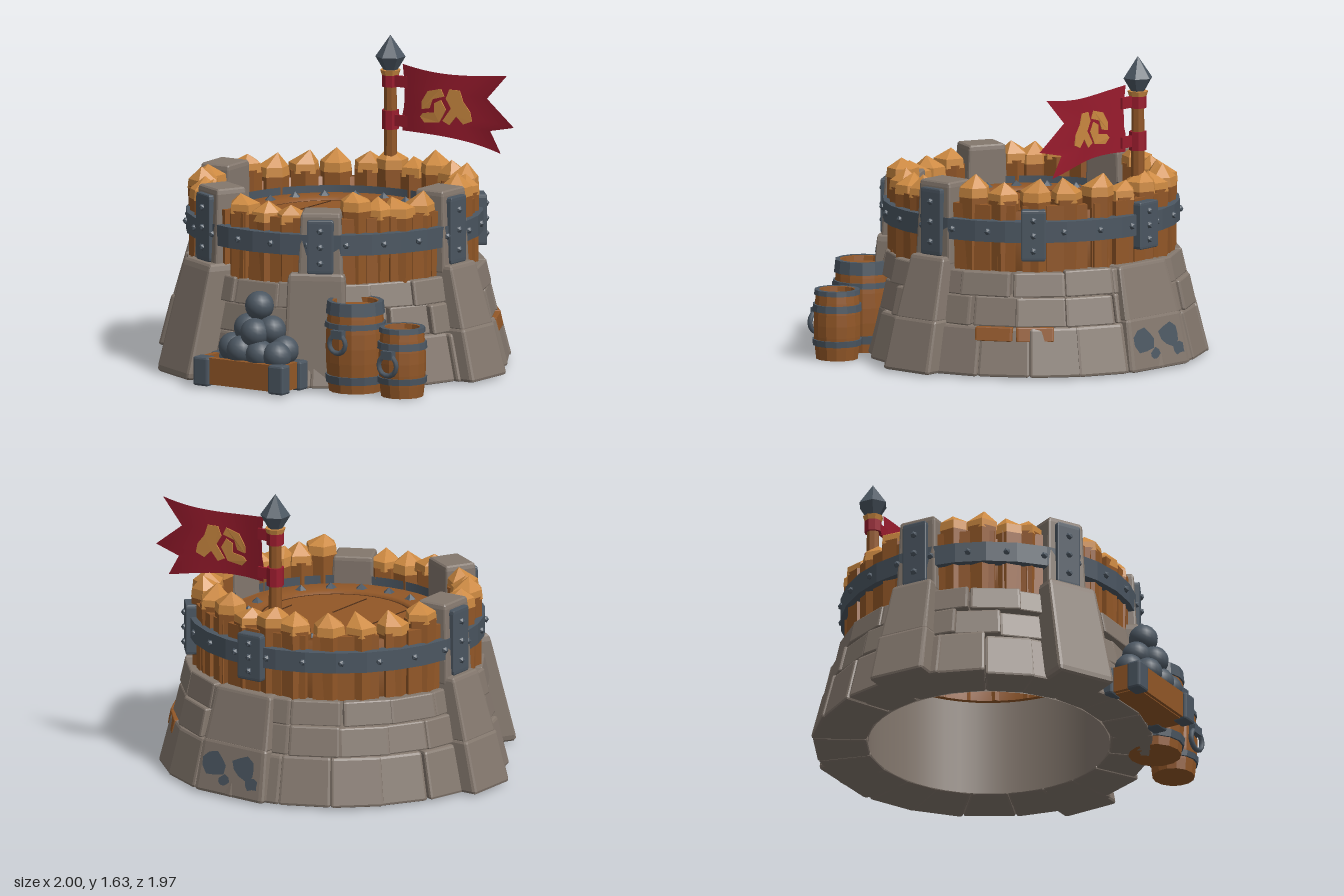
import * as THREE from 'three';
import { RoundedBoxGeometry } from 'three/addons/geometries/RoundedBoxGeometry.js';

const mat = (name, color, side = THREE.FrontSide) => {
  const m = new THREE.MeshStandardMaterial({ color, side });
  m.name = name;
  return m;
};
const stone = mat('stone', 0x83776d, THREE.DoubleSide);
const iron = mat('iron', 0x4b5661, THREE.DoubleSide);
const wood = mat('wood', 0x925727, THREE.DoubleSide);
const cutWood = mat('cut wood', 0xcc8941);
const seam = mat('dark seam', 0x4f2f18);
const red = mat('red cloth', 0x991b2d, THREE.DoubleSide);

const CZ = -0.06; // tower axis
const rad = THREE.MathUtils.degToRad, lerp = THREE.MathUtils.lerp;

export function createModel() {
  const root = new THREE.Group();
  root.name = 'watchtower';
  let seed = 7;
  const rnd = () => ((seed = (seed * 16807) % 2147483647) / 2147483647);
  const group = (name, z = 0) => {
    const g = new THREE.Group();
    g.name = name;
    g.position.z = z;
    root.add(g);
    return g;
  };
  const add = (parent, geo, material, name, x = 0, y = 0, z = 0) => {
    const m = new THREE.Mesh(geo, material);
    m.name = name;
    m.position.set(x, y, z);
    parent.add(m);
    return m;
  };
  const flat = (geo) => {
    const g = geo.index ? geo.toNonIndexed() : geo;
    g.computeVertexNormals();
    return g;
  };
  const lathe = (pts, n) => new THREE.LatheGeometry(pts.map((p) => new THREE.Vector2(p[0], p[1])), n);

  // Chamfered block facing outward at angle a (degrees, 0 = front), with sloping outer face
  const block = (parent, material, name, a, y0, y1, rin, rb, rt, wb, wt, inner = 1) => {
    const g = new RoundedBoxGeometry(1, 1, 1, 1, 0.06);
    const p = g.attributes.position;
    for (let i = 0; i < p.count; i++) {
      const v = p.getY(i) + 0.5, w = p.getZ(i) + 0.5;
      p.setXYZ(i, p.getX(i) * lerp(wb, wt, v) * lerp(inner, 1, w), lerp(y0, y1, v), lerp(rin, lerp(rb, rt, v), w));
    }
    const m = add(parent, flat(g), material, name);
    m.rotation.y = rad(a);
    return m;
  };

  // Stone base: hollow core and three courses of blocks
  const base = group('stoneBase', CZ);
  add(base, flat(lathe([[0.66, 0.03], [0.8, 0.03], [0.71, 0.55], [0.66, 0.55]], 40)), stone, 'baseCore');
  add(base, new THREE.CylinderGeometry(0.635, 0.635, 0.53, 48, 1, true), stone, 'innerWall', 0, 0.29, 0);
  const slope = (y) => lerp(0.925, 0.77, (y - 0.02) / 0.54);
  [[0.02, 0.275, 21], [0.275, 0.43, 20], [0.43, 0.56, 19]].forEach(([y0, y1, n], row) => {
    for (let i = 0; i < n; i++) {
      const a = ((i + row * 0.5) / n) * 360 + (rnd() - 0.5) * 3;
      const front = 0.07 * Math.max(0, Math.min(1, Math.cos(rad(a)) * 2 - 0.4)) * (row === 2 ? 0.3 : 1);
      const off = (rnd() - 0.5) * 0.02 - front;
      const rb = slope(y0) + off, rt = slope(y1) + off + 0.008;
      const w = 2 * Math.tan(Math.PI / n) * 1.03;
      block(base, stone, 'wallStone', a, y0, y1 + (rnd() - 0.5) * 0.01, 0.635, rb, rt, rb * w, rt * w, 0.635 / rb);
    }
  });
  [117, 131.5].forEach((a) => block(base, wood, 'woodBrick', a, 0.205, 0.278, 0.78, 0.882, 0.866, 0.2, 0.2));

  // Buttresses
  [-88.5, 88.5].forEach((a) => {
    block(base, stone, 'sideButtressFoot', a, 0.02, 0.3, 0.67, 1.0, 0.925, 0.32, 0.29);
    block(base, stone, 'sideButtressTop', a, 0.28, 0.62, 0.66, 0.925, 0.825, 0.28, 0.23);
  });
  block(base, stone, 'frontButtress', -27, 0.02, 0.62, 0.66, 0.985, 0.83, 0.34, 0.29);
  block(base, stone, 'frontButtress', 26.5, 0.02, 0.62, 0.66, 0.85, 0.8, 0.34, 0.3);
  block(base, stone, 'backButtressFoot', 178, 0.02, 0.3, 0.67, 0.925, 0.87, 0.46, 0.42);
  block(base, stone, 'backButtressTop', 178, 0.28, 0.57, 0.67, 0.87, 0.79, 0.42, 0.36);

  // Worn dark patches on the back buttress
  [[-0.11, 0.18, 0.1], [0.09, 0.19, 0.1], [0.15, 0.11, 0.05], [-0.04, 0.1, 0.05]].forEach(([x, y, s]) => {
    const pts = [];
    for (let i = 0; i < 9; i++) {
      const t = (i / 9) * Math.PI * 2, r = s * (0.6 + 0.4 * rnd());
      pts.push(new THREE.Vector2(Math.cos(t) * r, Math.sin(t) * r * 0.8));
    }
    const holder = new THREE.Group();
    holder.name = 'wornSpot';
    holder.rotation.y = rad(178);
    base.add(holder);
    const patch = add(holder, new THREE.ShapeGeometry(new THREE.Shape(pts)), iron, 'wornPatch', x, y, lerp(0.925, 0.87, (y - 0.02) / 0.28) + 0.005);
    patch.rotation.x = -0.194;
  });

  // Palisade of pointed posts with a wooden backing
  const wall = group('palisade', CZ);
  add(wall, lathe([[0.61, 0.55], [0.72, 0.55], [0.72, 0.87], [0.66, 0.87], [0.66, 0.78], [0.61, 0.78], [0.61, 0.55]], 40), wood, 'palisadeBacking');
  const postAngles = [-10.5, 2, 14, 43, 53, 63, 74.5, 104, 118, 132, 146, 161, 174, -173, -162, -147, -133, -118, -104, -74, -62, -50, -42];
  postAngles.forEach((a, i) => {
    const r = 0.68 + (rnd() - 0.5) * 0.015;
    const h = (Math.abs(a) < 25 ? 0.86 : 0.905) + rnd() * 0.055;
    const post = new THREE.Group();
    post.name = 'post';
    post.position.set(Math.sin(rad(a)) * r, 0.55, Math.cos(rad(a)) * r);
    post.rotation.y = rad(a) + (rnd() - 0.5) * 0.7;
    wall.add(post);
    const len = h - 0.55;
    add(post, flat(new THREE.CylinderGeometry(0.085, 0.08, len, 6)), wood, 'postShaft', 0, len / 2, 0);
    const cap = lathe([[0.088, -0.015], [0.083, 0.035], [0, 0.08 + rnd() * 0.03]], 5 + (i % 2));
    const p = cap.attributes.position, dx = (rnd() - 0.5) * 0.06, dz = (rnd() - 0.5) * 0.06;
    for (let k = 0; k < p.count; k++) if (p.getY(k) > 0.06) p.setXYZ(k, p.getX(k) + dx, p.getY(k), p.getZ(k) + dz);
    add(post, flat(cap), cutWood, 'postTip', 0, len, 0);
  });
  for (let i = 0; i < 36; i++) {
    const a = rad(i * 10);
    const plank = add(wall, new THREE.BoxGeometry(0.09, 0.35, 0.05), wood, 'fillerPlank', Math.sin(a) * 0.722, 0.73, Math.cos(a) * 0.722);
    plank.rotation.y = a;
  }

  // Iron band, rivets, plates and stone pillars
  const ring = lathe([[0.735, 0.71], [0.782, 0.715], [0.782, 0.825], [0.735, 0.83], [0.735, 0.71]], 30);
  add(wall, flat(ring), iron, 'ironBand');
  const stud = (a, y, r) => add(wall, flat(new THREE.IcosahedronGeometry(0.02, 0)), iron, 'bandRivet', Math.sin(rad(a)) * r, y, Math.cos(rad(a)) * r);
  for (let i = 0; i < 24; i++) stud(i * 15 + 8, 0.77, 0.78);
  const plate = (a, y0, y1, r, w) => {
    block(wall, iron, 'ironPlate', a, y0, y1, r - 0.06, r, r, w, w);
    [0.2, 0.5, 0.8].forEach((t) => stud(a, lerp(y0, y1, t), r));
  };
  [[-88.5, 1.01], [88.5, 1.01], [-27, 1.01], [28, 0.94]].forEach(([a, top]) => {
    block(wall, stone, 'stonePillar', a, 0.56, top, 0.59, 0.785, 0.765, 0.24, 0.21);
    plate(a, 0.62, top - 0.035, 0.797, 0.14);
  });
  plate(131, 0.62, 0.89, 0.8, 0.13);
  plate(181, 0.64, 0.89, 0.8, 0.15);

  // Deck, ringed with iron
  const deck = group('deck', CZ);
  add(deck, new THREE.CylinderGeometry(0.655, 0.655, 0.03, 48), wood, 'deckFloor', 0, 0.775, 0);
  add(deck, new THREE.CylinderGeometry(0.6, 0.6, 0.05, 40, 1, true), iron, 'innerBand', 0, 0.812, 0);
  add(deck, lathe([[0.408, 0.785], [0.415, 0.81], [0.54, 0.81], [0.55, 0.785]], 48), wood, 'deckRing');
  [0.402, 0.553].forEach((r) => {
    const s = add(deck, new THREE.RingGeometry(r - 0.005, r + 0.005, 48), seam, 'deckSeam', 0, 0.793, 0);
    s.rotation.x = -Math.PI / 2;
  });
  [[-0.23, 0.62], [0.06, 0.3], [0.31, 0.25]].forEach(([x, l], i) =>
    add(deck, new THREE.BoxGeometry(0.005, 0.004, l), seam, 'plankSeam', x, 0.792, [0, 0.2, -0.1][i]));
  for (let i = 0; i < 18; i++) {
    const a = rad(i * 20);
    const c = add(deck, flat(new THREE.ConeGeometry(0.035, 0.03, 5)), iron, 'deckRivet', Math.sin(a) * 0.465, 0.822, Math.cos(a) * 0.465);
    c.rotation.y = rnd() * 6;
  }

  // Flag and pole
  const flag = group('flag');
  const PX = -0.085, PZ = -0.72;
  add(flag, flat(new THREE.CylinderGeometry(0.033, 0.038, 0.87, 8)), wood, 'flagPole', PX, 1.005, PZ);
  add(flag, flat(new THREE.CylinderGeometry(0.055, 0.045, 0.03, 8)), cutWood, 'poleCollar', PX, 1.44, PZ);
  add(flag, flat(lathe([[0, 1.45], [0.035, 1.45], [0.08, 1.525], [0, 1.64]], 6)), iron, 'poleTip', PX, 0, PZ);
  [1.4, 1.19].forEach((y, i) => {
    add(flag, flat(new THREE.CylinderGeometry(0.046, 0.046, [0.07, 0.1][i], 8)), red, 'flagTie', PX, y, PZ);
    add(flag, new THREE.BoxGeometry(0.09, 0.06, 0.015), red, 'flagStrap', PX + 0.075, y, PZ + 0.012);
  });
  const bend = (geo) => {
    const p = geo.attributes.position;
    for (let i = 0; i < p.count; i++) p.setZ(i, p.getZ(i) - 0.708 + 0.016 * Math.sin(9 * p.getX(i)));
    geo.computeVertexNormals();
    return geo;
  };
  // Swallow-tailed cloth: rows run from the hoist to the ragged fly edge
  const hoist = [[0.0, 1.14], [0.0, 1.23], [0.01, 1.27], [0.015, 1.38], [0.0, 1.495]];
  const fly = [[0.61, 1.075], [0.54, 1.19], [0.7, 1.225], [0.52, 1.36], [0.65, 1.495]];
  const cloth = new THREE.PlaneGeometry(1, 1, 14, 4);
  for (let i = 0, p = cloth.attributes.position; i < p.count; i++) {
    const u = p.getX(i) + 0.5, k = Math.round((p.getY(i) + 0.5) * 4);
    const sag = Math.sin(Math.PI * u) * (k === 4 ? -0.025 : k === 0 ? 0.025 : 0);
    p.setXY(i, lerp(hoist[k][0], fly[k][0], u), lerp(hoist[k][1], fly[k][1], u) + sag);
  }
  add(flag, bend(cloth), red, 'flagCloth');
  // Plain abstract cloth patches, showing on both faces
  [[[0.13, 1.31], [0.17, 1.37], [0.25, 1.39], [0.27, 1.35], [0.2, 1.33], [0.18, 1.28], [0.13, 1.27]],
    [[0.12, 1.23], [0.15, 1.2], [0.24, 1.21], [0.28, 1.28], [0.25, 1.33], [0.21, 1.31], [0.21, 1.26], [0.14, 1.25]],
    [[0.28, 1.34], [0.3, 1.39], [0.36, 1.39], [0.38, 1.33], [0.42, 1.28], [0.43, 1.23], [0.38, 1.21], [0.34, 1.25], [0.3, 1.2], [0.26, 1.22], [0.31, 1.29]],
  ].forEach((pts) => {
    const outline = new THREE.Shape(pts.map((p) => new THREE.Vector2(p[0], p[1])));
    const g = new THREE.ExtrudeGeometry(outline, { depth: 0.0098, bevelEnabled: false });
    add(flag, bend(g.translate(0, 0, -0.0049)), cutWood, 'flagPatch');
  });

  // Shot box and cannonballs
  const shot = group('shotBox');
  const BX = 0.08, BZ = 0.86;
  [-1, 1].forEach((s) => {
    add(shot, new THREE.BoxGeometry(0.5, 0.14, 0.035), wood, 'boxLongSide', BX, 0.105, BZ + s * 0.09);
    add(shot, new THREE.BoxGeometry(0.035, 0.14, 0.16), wood, 'boxShortSide', BX + s * 0.245, 0.105, BZ);
    [-1, 1].forEach((t) => add(shot, flat(new RoundedBoxGeometry(0.095, 0.155, 0.08, 1, 0.012)), iron, 'boxCorner', BX + s * 0.235, 0.1, BZ + t * 0.085));
  });
  add(shot, new THREE.BoxGeometry(0.48, 0.1, 0.18), wood, 'boxFloor', BX, 0.08, BZ);
  [[-0.05, 0.22, 0.83], [0.04, 0.22, 0.89], [0.16, 0.21, 0.89], [0.1, 0.21, 0.78], [0.26, 0.23, 0.81], [0.26, 0.21, 0.88],
    [0.04, 0.33, 0.82], [0.18, 0.33, 0.81], [0.12, 0.32, 0.88], [0.11, 0.455, 0.82]]
    .forEach(([x, y, z]) => add(shot, new THREE.SphereGeometry(0.077, 16, 12), iron, 'cannonball', x, y, z));

  // Barrels with hoops and ring handles
  const barrel = (x, z, y0, h, r, hoops, ringY, ringR) => {
    const b = group('barrel');
    b.position.set(x, y0, z);
    const at = (t) => r * (0.89 + 0.11 * Math.sin(Math.PI * t));
    const pts = [[0, 0]];
    for (let i = 0; i <= 6; i++) pts.push([at(i / 6) * 0.98, (h * i) / 6]);
    pts.push([at(1) * 0.82, h], [at(1) * 0.8, h - 0.025], [0, h - 0.025]);
    add(b, flat(lathe(pts, 14)), wood, 'barrelBody');
    hoops.forEach(([t0, t1]) => {
      const a = at(t0) + 0.007, c = at(t1) + 0.007;
      add(b, flat(lathe([[a - 0.025, t0 * h], [a, t0 * h], [c, t1 * h], [c - 0.025, t1 * h]], 14)), iron, 'barrelHoop');
    });
    add(b, new THREE.BoxGeometry(0.07, 0.045, 0.05), iron, 'handleBracket', 0, ringY + ringR, r);
    add(b, new THREE.TorusGeometry(ringR, 0.014, 6, 14), iron, 'ringHandle', 0, ringY, r + 0.012);
  };
  barrel(0.575, 0.61, 0.02, 0.475, 0.16, [[0.1, 0.19], [0.72, 0.78], [0.87, 1.01]], 0.27, 0.05);
  barrel(0.84, 0.565, 0.01, 0.365, 0.128, [[0.2, 0.29], [0.7, 0.8], [0.94, 1.01]], 0.18, 0.055);

  // Rest on the ground
  root.children.forEach((c) => (c.position.y -= 0.01));
  return root;
}
